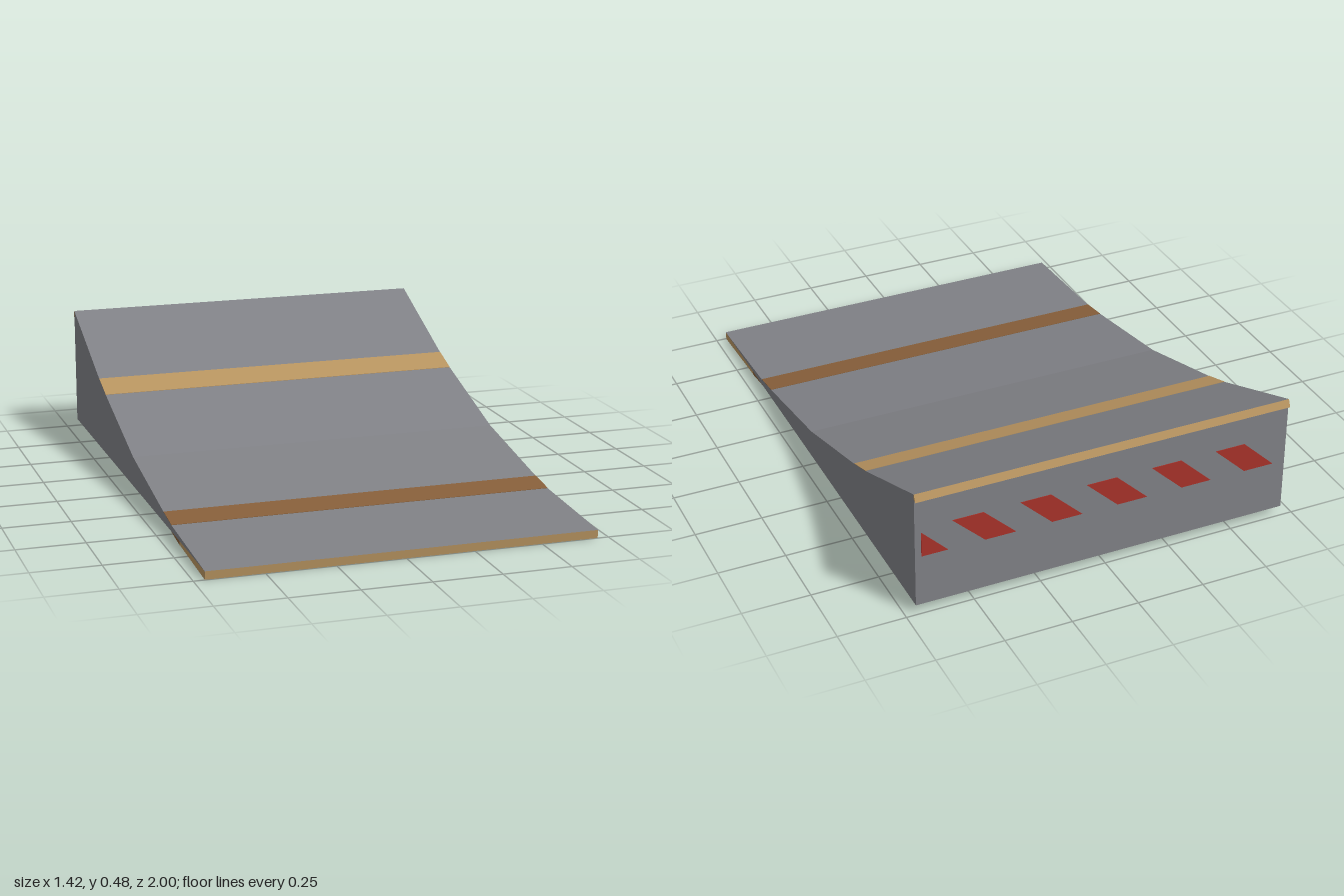
import * as THREE from 'three';

const WIDTH = 1.42;

function material(name, color) {
  const m = new THREE.MeshStandardMaterial({ color });
  m.name = name;
  return m;
}

const toShape = (points) => new THREE.Shape(points.map(([a, b]) => new THREE.Vector2(a, b)));

// Extrudes a side profile of [z, y] points across the full width
function prism(name, points, mat) {
  const geo = new THREE.ExtrudeGeometry(toShape(points), { depth: WIDTH, bevelEnabled: false });
  geo.translate(0, 0, -WIDTH / 2).rotateY(-Math.PI / 2);
  const mesh = new THREE.Mesh(geo, mat);
  mesh.name = name;
  return mesh;
}

export function createModel() {
  const grey = material('grey', 0x808186);
  const tan = material('tan wood', 0xb89460);
  const brown = material('brown wood', 0x875f3a);
  const red = material('warning red', 0xa8322a);

  const ramp = new THREE.Group();
  ramp.name = 'ramp';

  // Curved riding surface, front to back
  const top = [
    [1, 0.03], [0.56, 0.053], [0.45, 0.068], [0, 0.143],
    [-0.44, 0.27], [-0.55, 0.307], [-0.988, 0.484],
  ];
  ramp.add(prism('body', [...top, [-0.988, 0.03]], grey));

  // Painted bands lying on the riding surface
  const band = (name, i, mat) => {
    const [[z0, y0], [z1, y1]] = [top[i], top[i + 1]];
    ramp.add(prism(name, [[z0, y0], [z1, y1], [z1, y1 + 0.0015], [z0, y0 + 0.0015]], mat));
  };
  band('lowerBand', 1, brown);
  band('upperBand', 4, tan);

  // Plywood under the front edge and at the back edge
  ramp.add(prism('frontLip', [[1, 0.03], [0.998, 0], [0.67, 0.017], [0.67, 0.03]], tan));
  ramp.add(prism('frontLipSupport', [[0.67, 0.03], [0.67, 0.015], [0.55, 0.03]], brown));
  ramp.add(prism('backLip', [[-0.988, 0.484], [-1, 0.457], [-0.988, 0.462]], tan));

  // Slanted warning stripes on the back wall, the first one cut short
  const [low, high, w, slant] = [0.228, 0.342, 0.115, 0.12];
  const stripes = [toShape([[-0.687, 0.325], [-0.687, low], [-0.59, low]])];
  for (let i = 0; i < 5; i++) {
    const x = -0.574 + i * 0.25;
    stripes.push(toShape([[x, high], [x + slant, low], [x + slant + w, low], [x + w, high]]));
  }
  const stripeGeo = new THREE.ExtrudeGeometry(stripes, { depth: 0.002, bevelEnabled: false });
  stripeGeo.rotateY(Math.PI).translate(0, 0, -0.988);
  const stripeMesh = new THREE.Mesh(stripeGeo, red);
  stripeMesh.name = 'warningStripes';
  ramp.add(stripeMesh);

  return ramp;
}
